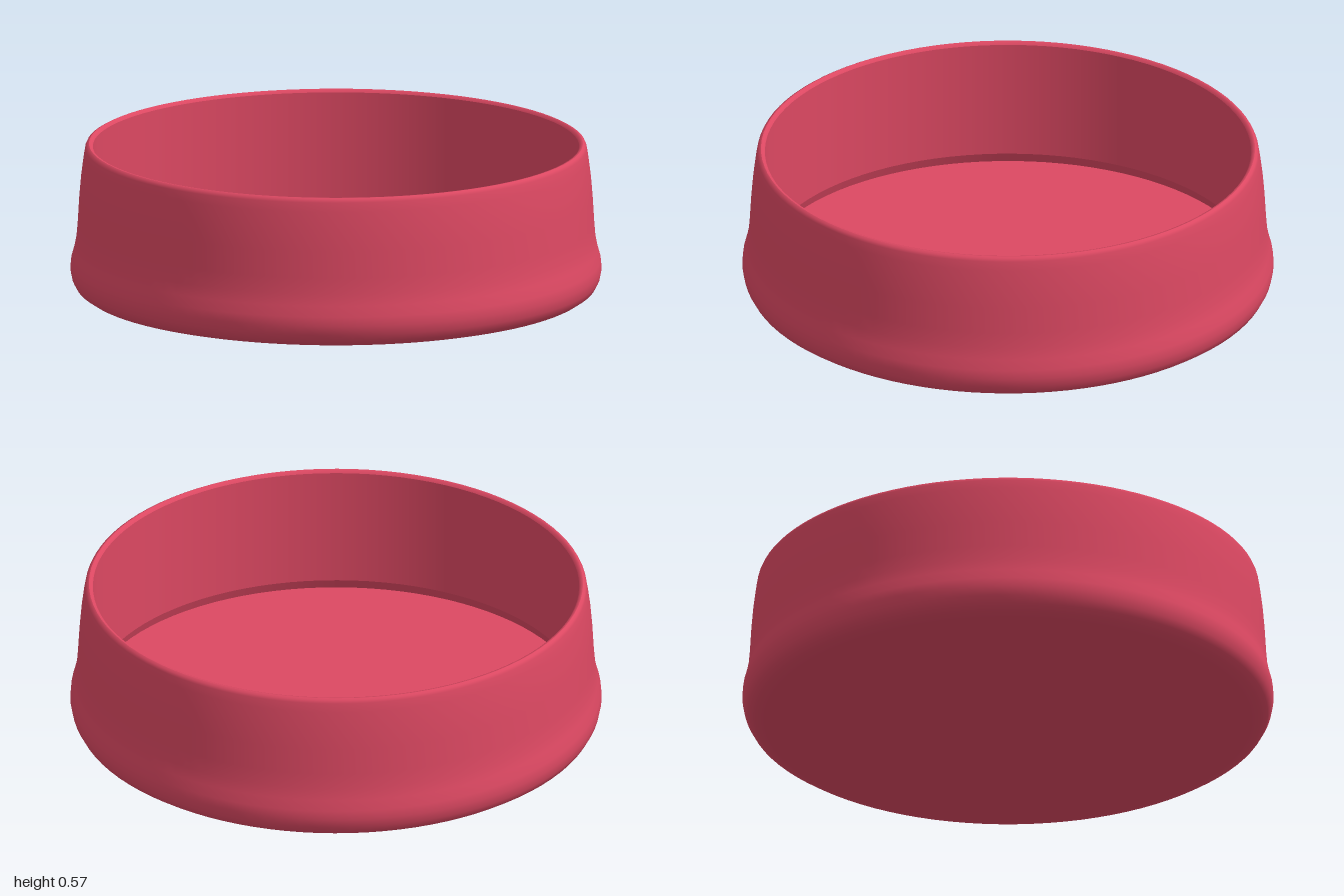
import * as THREE from 'three';

const SEGMENTS = 96;

export function createModel() {
  const model = new THREE.Group();
  model.name = 'roundDish';
  const red = new THREE.MeshStandardMaterial({ color: 0xdc4862 });
  red.name = 'raspberry red';

  const add = (name, geometry) => {
    const mesh = new THREE.Mesh(geometry, red);
    mesh.name = name;
    model.add(mesh);
    return mesh;
  };
  // Each profile is swept on its own, so the joints between them stay crisp
  const turn = (name, profile) =>
    add(name, new THREE.LatheGeometry(profile.map(([r, y]) => new THREE.Vector2(r, y)), SEGMENTS));

  // Rounded foot flowing into the tapering outer wall
  turn('outerWall', [
    [0.92, 0], [0.95, 0.008], [0.978, 0.027], [0.993, 0.055], [1, 0.09],
    [0.997, 0.125], [0.986, 0.165], [0.977, 0.21], [0.972, 0.27], [0.966, 0.37],
    [0.959, 0.45], [0.95, 0.52], [0.944, 0.555], [0.939, 0.566], [0.93, 0.571],
  ]);

  // Narrow lip around the opening
  turn('rim', [[0.93, 0.571], [0.922, 0.57], [0.915, 0.56]]);

  // Straight inside wall with a shallow groove above the floor
  turn('innerWall', [[0.915, 0.56], [0.915, 0.105]]);
  turn('floorGroove', [[0.915, 0.105], [0.93, 0.067]]);

  // Flat inside floor and underside
  const floor = add('floor', new THREE.CircleGeometry(0.93, SEGMENTS));
  floor.rotation.x = -Math.PI / 2;
  floor.position.y = 0.067;
  const base = add('underside', new THREE.CircleGeometry(0.92, SEGMENTS));
  base.rotation.x = Math.PI / 2;

  return model;
}
